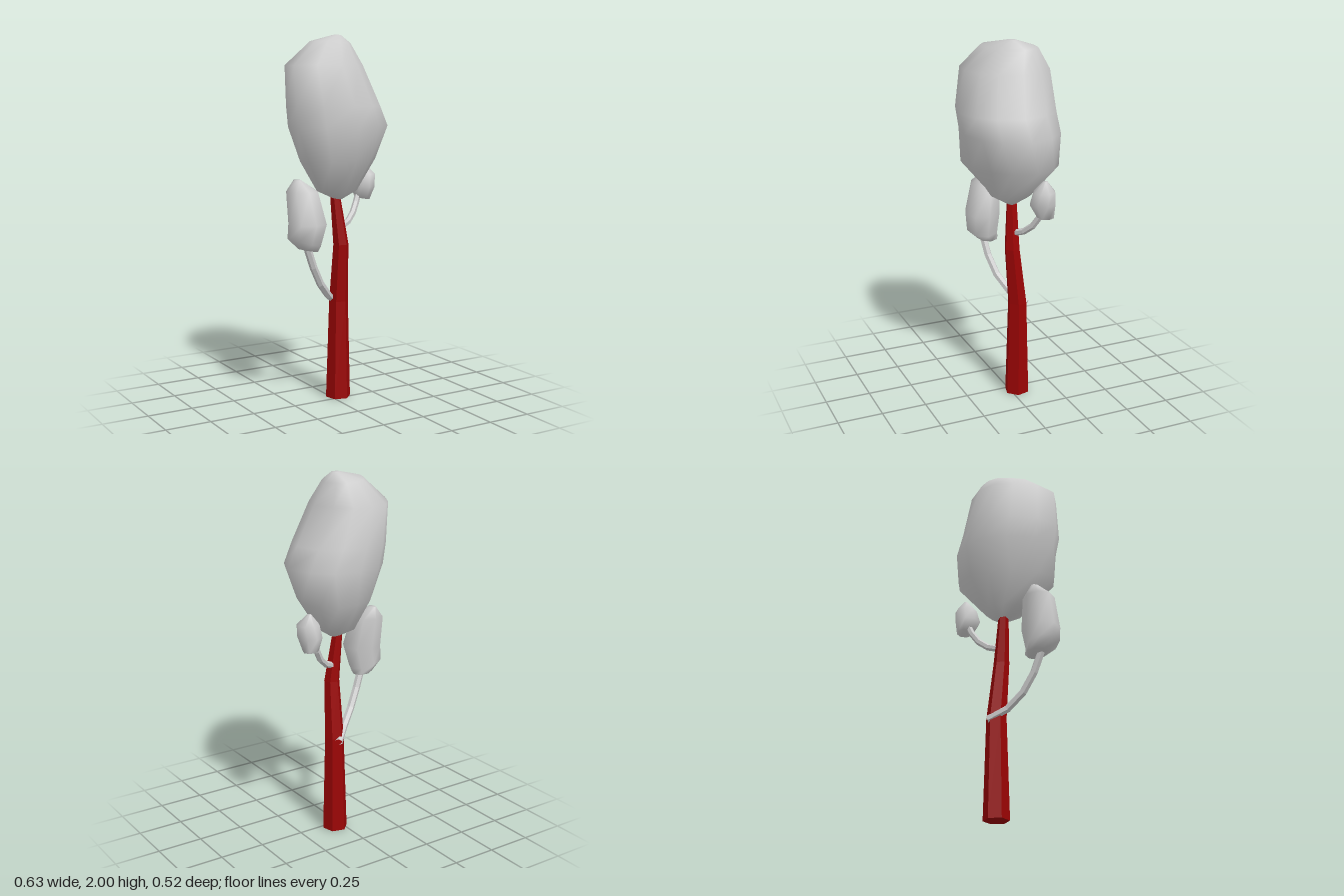
import * as THREE from 'three';

// Regular outline inside the unit circle
const polygon = (sides, turn = 0) => Array.from({ length: sides }, (_, i) => {
  const a = turn + (i / sides) * Math.PI * 2;
  return [Math.cos(a), Math.sin(a)];
});

// Closed loft of an outline through rings [y, xMin, xMax, zMin, zMax, skew, tilt]
// skew leans the ring towards the +x/-z diagonal, tilt raises its +x side
function loft(rings, outline) {
  const pos = [], index = [], n = rings.length, sides = outline.length;
  for (const [y, x0, x1, z0, z1, skew = 0, tilt = 0] of rings) {
    for (const [u, v] of outline) {
      pos.push(
        (x0 + x1) / 2 + u * (x1 - x0) / 2,
        y + u * tilt,
        (z0 + z1) / 2 + (v - skew * u) * (z1 - z0) / 2,
      );
    }
  }
  for (let r = 0; r < n - 1; r++) {
    for (let i = 0; i < sides; i++) {
      const a = r * sides + i, b = r * sides + (i + 1) % sides;
      index.push(a, a + sides, b, b, a + sides, b + sides);
    }
  }
  // end caps
  const top = (n - 1) * sides;
  for (let i = 1; i < sides - 1; i++) {
    index.push(0, i, i + 1, top, top + i + 1, top + i);
  }
  const g = new THREE.BufferGeometry();
  g.setAttribute('position', new THREE.Float32BufferAttribute(pos, 3));
  g.setIndex(index);
  g.computeVertexNormals();
  return g;
}

export function createModel() {
  const tree = new THREE.Group();
  tree.name = 'tree';
  const grey = new THREE.MeshStandardMaterial({ color: 0xcccccc });
  const branchMat = new THREE.MeshStandardMaterial({ color: 0xcccccc, flatShading: true, side: THREE.DoubleSide });
  const bark = new THREE.MeshStandardMaterial({ color: 0x990404, flatShading: true });

  const add = (name, geometry, material) => {
    const mesh = new THREE.Mesh(geometry, material);
    mesh.name = name;
    tree.add(mesh);
  };

  // Trunk: bent, tapering, six-sided; [x, y, z, radius]
  const trunk = [
    [0.045, 0, -0.037, 0.07], [0.048, 0.55, -0.037, 0.054],
    [0.045, 0.87, -0.007, 0.043], [0.012, 1.16, -0.018, 0.027],
  ].map(([x, y, z, r]) => [y, x - r, x + r, z - r, z + r]);
  add('trunk', loft(trunk, polygon(6, 0.26)), bark);

  // Main crown with an uneven outline
  const crownOutline = [
    [1, 0.08], [0.8, 0.6], [0.47, 0.87], [-0.03, 1], [-0.63, 0.83], [-1, 0.39],
    [-0.98, -0.1], [-0.67, -0.62], [-0.37, -0.93], [0.07, -1], [0.53, -0.85], [0.83, -0.47],
  ];
  add('crown', loft([
    [1.12, 0.01, 0.05, -0.03, 0.01],
    [1.17, -0.1, 0.13, -0.12, 0.1],
    [1.34, -0.235, 0.266, -0.228, 0.21, 0.3],
    [1.52, -0.278, 0.31, -0.26, 0.247, 0.05],
    [1.63, -0.292, 0.25, -0.256, 0.257, 0.05],
    [1.84, -0.297, 0.16, -0.24, 0.21, 0.1],
    [1.96, -0.155, 0.11, -0.15, 0.11, 0.3, -0.005],
    [2.0, 0, 0.045, -0.035, 0.005],
  ], crownOutline), grey);

  // Tall side cluster
  add('lowerCluster', loft([
    [0.865, -0.245, -0.135, -0.02, 0.1, 0, -0.01],
    [0.91, -0.315, -0.13, -0.03, 0.15, 0, -0.025],
    [1.01, -0.313, -0.095, -0.035, 0.165],
    [1.18, -0.312, -0.13, -0.045, 0.12],
    [1.24, -0.25, -0.215, -0.02, 0.035],
  ], polygon(8)), grey);

  // Small side cluster
  add('upperCluster', loft([
    [1.1, 0.205, 0.285, -0.158, -0.062, 0, -0.007],
    [1.17, 0.175, 0.305, -0.167, -0.022],
    [1.24, 0.19, 0.315, -0.157, -0.04],
    [1.295, 0.238, 0.258, -0.115, -0.092],
  ], polygon(8)), grey);

  // Bent branches carrying the side clusters
  const branch = (name, points, radius) => {
    const curve = new THREE.CatmullRomCurve3(points.map(p => new THREE.Vector3(...p)));
    add(name, new THREE.TubeGeometry(curve, 4, radius, 6), branchMat);
  };
  branch('lowerBranch', [[0.055, 0.535, -0.092], [0, 0.565, -0.04], [-0.125, 0.7, 0.035], [-0.205, 0.88, 0.065]], 0.021);
  branch('upperBranch', [[0.05, 0.96, -0.02], [0.13, 0.995, -0.055], [0.185, 1.06, -0.09], [0.225, 1.15, -0.11]], 0.018);

  return tree;
}
